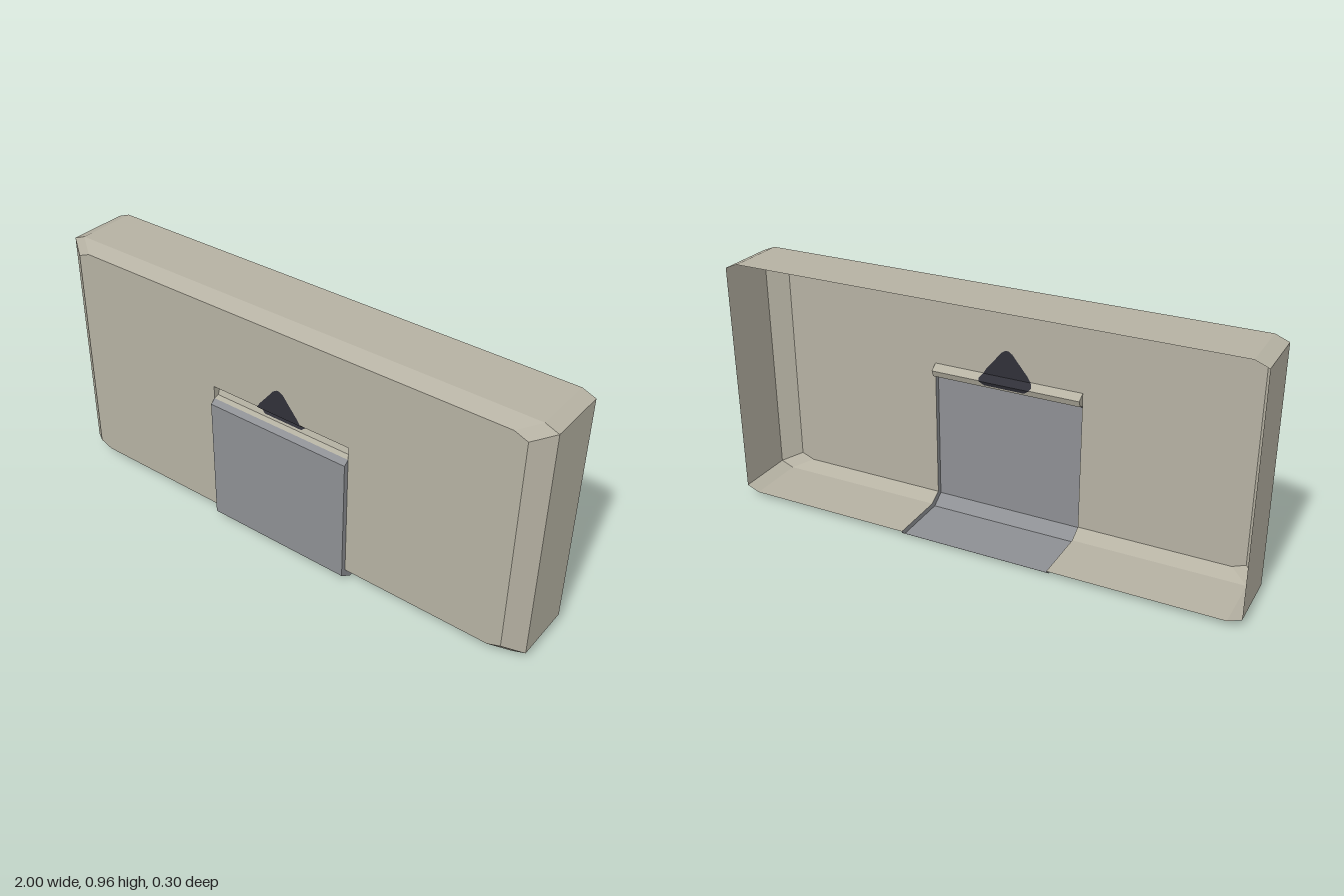
import * as THREE from 'three';

const paint = (name, color) => {
  const m = new THREE.MeshStandardMaterial({ color, side: THREE.DoubleSide });
  m.name = name;
  return m;
};

// Flat-shaded sheet joining rows of [x, y, z] points
function sheet(rows) {
  const pos = [];
  for (let i = 0; i < rows.length - 1; i++) {
    for (let j = 0; j < rows[i].length - 1; j++) {
      const a = rows[i][j], b = rows[i][j + 1], c = rows[i + 1][j + 1], d = rows[i + 1][j];
      pos.push(...a, ...b, ...c, ...a, ...c, ...d);
    }
  }
  const g = new THREE.BufferGeometry();
  g.setAttribute('position', new THREE.Float32BufferAttribute(pos, 3));
  g.computeVertexNormals();
  return g;
}

const polygon = (pts) =>
  new THREE.ShapeGeometry(new THREE.Shape(pts.map(([x, y]) => new THREE.Vector2(x, y))));

const SLOT = 0.295; // half width of the flap opening
const TOP = 0.595; // upper edge of the opening

// Bevelled rectangle outline, open at the bottom where the flap sits
function outline(w, lo, hi) {
  const half = [[SLOT, lo], [w - 0.05, lo], [w, lo + 0.02], [w, hi - 0.02], [w - 0.05, hi]];
  return [...half, ...half.map(([x, y]) => [-x, y]).reverse()];
}

// Sweep a [z, y] profile across the opening
const across = (profile) =>
  sheet([-SLOT, SLOT].map((x) => profile.map(([z, y]) => [x, y, z])));

export function createModel() {
  const model = new THREE.Group();
  const shellPaint = paint('warm beige', 0xb5b1a2);
  const flapPaint = paint('mid grey', 0x8d8f93);
  const markPaint = paint('near black', 0x303038);
  const add = (name, geometry, material) => {
    const mesh = new THREE.Mesh(geometry, material);
    mesh.name = name;
    model.add(mesh);
    return mesh;
  };

  // Hollow shell, open at the back
  const outer = outline(1, 0.02, 0.96);
  const inner = outline(0.93, 0.05, 0.93);
  const at = (pts, z) => pts.map(([x, y]) => [x, y, z]);
  add('shellWalls', sheet([at(outer, -0.15), at(outer, 0.08), at(inner, 0.13)]), shellPaint);
  add('frontPanel', polygon([...inner, [-SLOT, TOP], [SLOT, TOP]]), shellPaint).position.z = 0.13;

  // Finger groove above the flap
  const groove = [[0.13, TOP], [0.1, 0.575], [0.11, 0.55], [0.13, 0.545]];
  add('grip', across(groove), shellPaint);

  // Raised flap wrapping under the bottom edge
  const flap = [[0.13, 0.545], [0.15, 0.53], [0.15, 0.035], [0.1, 0], [-0.13, 0], [-0.15, 0.015]];
  add('flap', across(flap), flapPaint);

  // End walls of the groove and flap
  const flapSide = [...flap, [-0.15, 0.02], [0.08, 0.02], [0.13, 0.05]];
  for (const side of [-1, 1]) {
    const ends = [['gripEnd', groove, shellPaint], ['flapSide', flapSide, flapPaint]];
    for (const [name, pts, material] of ends) {
      const g = polygon(pts).rotateY(-Math.PI / 2);
      if (side > 0) g.scale(-1, 1, 1).index.array.reverse();
      add(name, g, material).position.x = side * SLOT;
    }
  }

  // Pointed mark painted on both faces, following the groove: [y, z, half width]
  const mark = [
    [0.7, 0.13, 0.006], [0.69, 0.13, 0.022], [0.655, 0.13, 0.05], [0.615, 0.13, 0.083],
    [TOP, 0.13, 0.095], [0.583, 0.112, 0.105], [0.575, 0.1, 0.1], [0.56, 0.106, 0.08],
  ];
  for (const offset of [-0.003, 0.003]) {
    const rows = [-1, 1].map((s) => mark.map(([y, z, w]) => [s * w, y, z + offset]));
    add(offset > 0 ? 'frontMark' : 'backMark', sheet(rows), markPaint);
  }
  return model;
}
